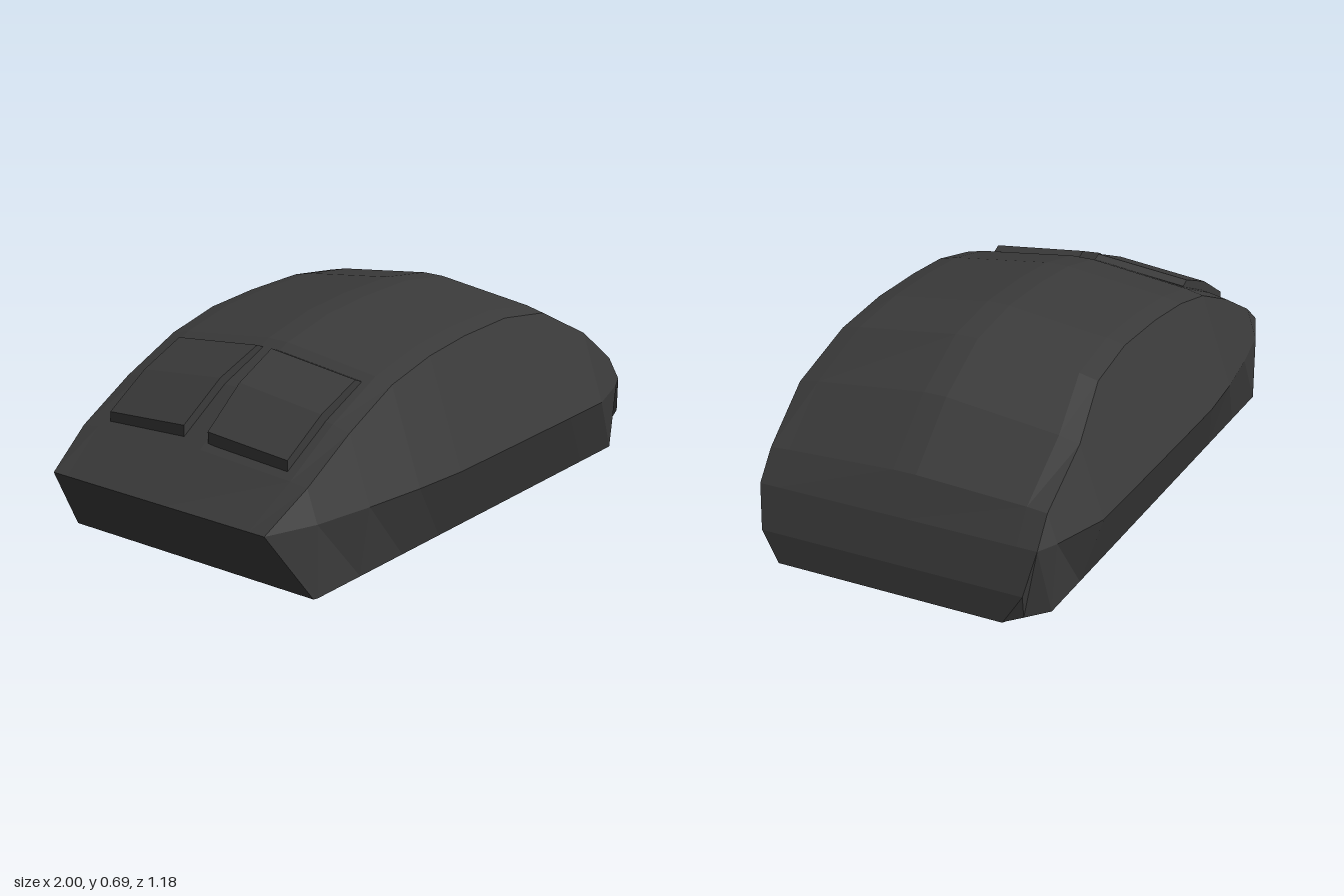
import * as THREE from 'three';

const material = new THREE.MeshStandardMaterial({ color: 0x3b3b3b, flatShading: true });

// Skin closed rings, ordered along +x, and cap both ends.
// Each ring rises on its +z side and comes down on its -z side.
function loft(rings, name) {
  const n = rings[0].length;
  const index = [];
  for (let i = 0; i < rings.length - 1; i++) {
    for (let j = 0; j < n; j++) {
      const k = (j + 1) % n;
      const a = i * n + j, b = i * n + k;
      const c = a + n, d = b + n;
      index.push(a, c, b, c, d, b);
    }
  }
  const last = (rings.length - 1) * n;
  for (let j = 1; j < n - 1; j++) {
    index.push(0, j, j + 1, last, last + j + 1, last + j);
  }
  const geometry = new THREE.BufferGeometry();
  geometry.setAttribute('position', new THREE.Float32BufferAttribute(rings.flat(2), 3));
  geometry.setIndex(index);
  const flat = geometry.toNonIndexed();
  flat.computeVertexNormals();
  const mesh = new THREE.Mesh(flat, material);
  mesh.name = name;
  return mesh;
}

// How much of the full crown a section of this height has
const crown = (top) => THREE.MathUtils.clamp((top - 0.24) / 0.3, 0, 1);

// Body section: floor edge, widest line, shoulder, crown
function bodyRing([x, top, width, floorZ = 0.505, floorX = x]) {
  const k = crown(top);
  const midY = Math.min(0.24, top);
  const shoulderY = top - 0.06 * k;
  const shoulderZ = width - 0.35 * Math.max(0, shoulderY - midY);
  const half = [
    [floorX, 0, floorZ],
    [x, midY, width],
    [x, shoulderY, shoulderZ],
    [x, top - 0.045 * k, shoulderZ * 0.86],
    [x, top, 0.04],
  ];
  return [...half, ...half.map(([px, y, z]) => [px, y, -z]).reverse()];
}

// Button section: a thin slab that follows the crown
function buttonRing([x, top, inner], side) {
  const outer = 0.37;
  const height = (z) => top - 0.11 * crown(top) * (z - 0.04);
  const ring = [
    [x, height(outer) - 0.06, outer],
    [x, height(outer), outer],
    [x, height(inner), inner],
    [x, height(inner) - 0.06, inner],
  ];
  return side > 0 ? ring : ring.map(([px, y, z]) => [px, y, -z]).reverse();
}

export function createModel() {
  const model = new THREE.Group();
  model.name = 'computerMouse';

  // Body: x, top height, half width, optional half width and x of the floor edge
  const stations = [
    [-1, 0.24, 0.44, 0.5, -0.845],
    [-0.83, 0.375, 0.505],
    [-0.62, 0.52, 0.543],
    [-0.4, 0.62, 0.572],
    [-0.2, 0.665, 0.588],
    [0, 0.682, 0.588],
    [0.24, 0.686, 0.587],
    [0.46, 0.655, 0.586],
    [0.67, 0.54, 0.584],
    [0.87, 0.36, 0.523],
    [0.94, 0.24, 0.49, 0.445],
    [0.985, 0.1, 0.463, 0.405],
    [0.995, 0, 0.4, 0.4],
  ];
  model.add(loft(stations.map(bodyRing), 'body'));

  // Two raised buttons with a tapering gap between them
  const buttonStations = [
    [-0.805, 0.43, 0.05],
    [-0.64, 0.545, 0.04],
    [-0.47, 0.613, 0.03],
    [-0.44, 0.6, 0.03],
  ];
  for (const side of [1, -1]) {
    const rings = buttonStations.map((s) => buttonRing(s, side));
    model.add(loft(rings, side > 0 ? 'leftButton' : 'rightButton'));
  }
  return model;
}
